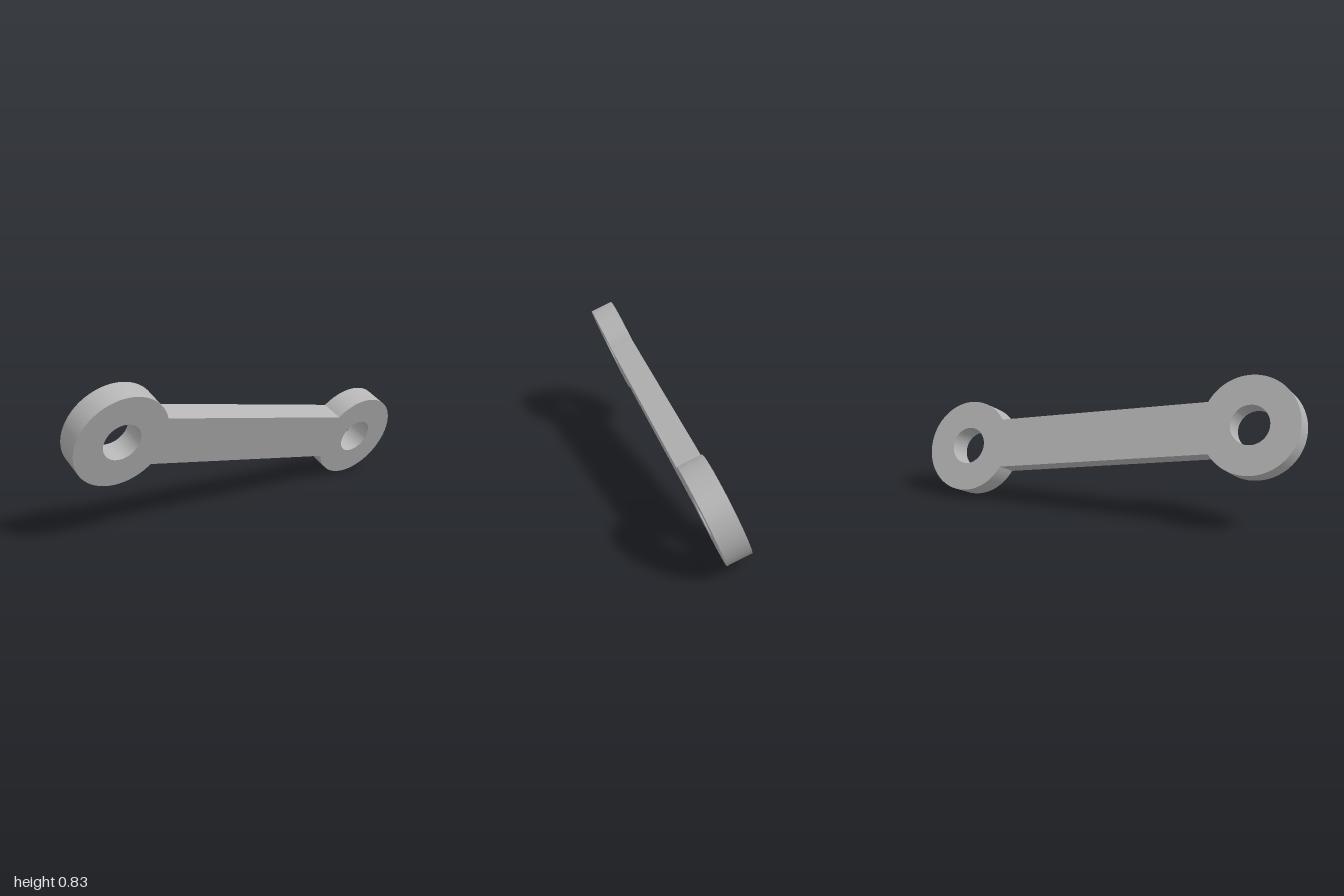
import * as THREE from 'three';
import { toCreasedNormals } from 'three/addons/utils/BufferGeometryUtils.js';

export function createModel() {
  const group = new THREE.Group();
  group.name = 'linkArm';
  const grey = new THREE.MeshStandardMaterial({ color: 0xb4b4b4 });
  grey.name = 'grey metal';

  const halfSpan = 0.882, ringR = 0.273, holeR = 0.109, barHalf = 0.144, thick = 0.14;
  const a = Math.asin(barHalf / ringR); // angle where the bar meets each ring

  // Outline: left ring, straight bar, right ring
  const outline = new THREE.Shape();
  outline.absarc(-halfSpan, 0, ringR, a, 2 * Math.PI - a, false);
  outline.absarc(halfSpan, 0, ringR, Math.PI + a, 3 * Math.PI - a, false);
  outline.closePath();

  // Round eye through each ring
  for (const side of [-1, 1]) {
    const hole = new THREE.Path();
    hole.absarc(side * halfSpan, 0, holeR, 0, 2 * Math.PI, true);
    outline.holes.push(hole);
  }

  const plate = new THREE.ExtrudeGeometry(outline, {
    depth: thick, bevelEnabled: false, curveSegments: 64,
  });
  plate.translate(0, 0, -thick / 2);
  const link = new THREE.Mesh(toCreasedNormals(plate, 0.5), grey);
  link.name = 'connectingLink';

  // Tilt the plate: length along `along`, face towards `face`
  const along = new THREE.Vector3(1.445, -0.27, -0.975).normalize();
  const face = new THREE.Vector3(0.46, -0.39, 0.8);
  face.addScaledVector(along, -face.dot(along)).normalize();
  const up = new THREE.Vector3().crossVectors(face, along);
  link.quaternion.setFromRotationMatrix(new THREE.Matrix4().makeBasis(along, up, face));
  link.position.y = 0.411;

  group.add(link);
  return group;
}
